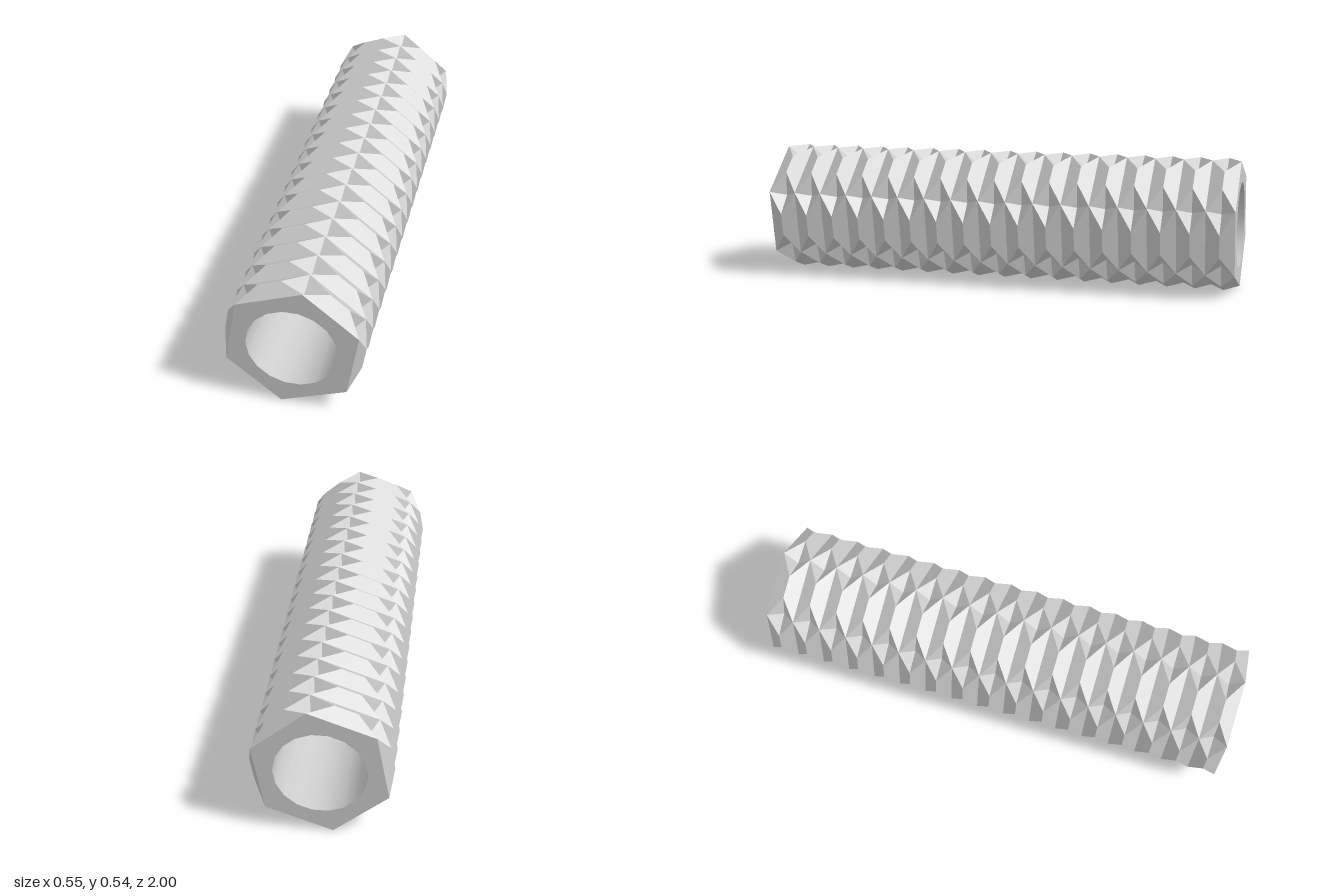
import * as THREE from 'three';

const R = 0.274;        // peak radius
const VALLEY = 0.222;   // valley radius between paired peaks
const BORE = 0.178;     // hole radius
const CY = R * Math.cos(Math.PI / 18); // axis height
const PERIODS = 17, LENGTH = 2, HALF = LENGTH / PERIODS / 2;

const polar = (r, deg, z) => {
  const a = THREE.MathUtils.degToRad(deg);
  return [r * Math.cos(a), r * Math.sin(a), z];
};

// Folded skin: hexagonal rings alternate with rings of paired peaks and valleys
function foldedSkin() {
  const pos = [];
  const tri = (a, b, c, flip) => pos.push(...a, ...(flip ? c : b), ...(flip ? b : c));
  const band = (zHex, zPair) => {
    const flip = zPair < zHex;
    for (let k = 0; k < 6; k++) {
      const t = 20 + 60 * k;
      const a = polar(R, t, zHex), aNext = polar(R, t + 60, zHex);
      const p = polar(R, t + 20, zPair), q = polar(R, t + 40, zPair);
      const qPrev = polar(R, t - 20, zPair), v = polar(VALLEY, t, zPair);
      tri(a, aNext, q, flip);
      tri(a, q, p, flip);
      tri(a, p, v, flip);
      tri(a, v, qPrev, flip);
    }
  };
  for (let i = 0; i < PERIODS; i++) {
    const z = -LENGTH / 2 + 2 * i * HALF;
    band(z, z + HALF);
    band(z + 2 * HALF, z + HALF);
  }
  const geo = new THREE.BufferGeometry();
  geo.setAttribute('position', new THREE.Float32BufferAttribute(pos, 3));
  geo.computeVertexNormals();
  return geo;
}

// Hexagonal end face with an 18-sided hole
function endFace() {
  const ring = (n, r, start) => Array.from({ length: n }, (_, i) =>
    new THREE.Vector2(...polar(r, start + (360 / n) * i, 0).slice(0, 2)));
  const shape = new THREE.Shape(ring(6, R, 20));
  shape.holes.push(new THREE.Path(ring(18, BORE, 0).reverse()));
  return new THREE.ShapeGeometry(shape);
}

export function createModel() {
  const group = new THREE.Group();
  group.name = 'foldedTube';
  const add = (geo, name, options = {}) => {
    const mesh = new THREE.Mesh(geo, new THREE.MeshStandardMaterial({ color: 0xcccccc, ...options }));
    mesh.name = name;
    mesh.position.y = CY;
    group.add(mesh);
    return mesh;
  };

  add(foldedSkin(), 'outerSkin', { flatShading: true });

  // Bore, seen from inside
  const bore = new THREE.CylinderGeometry(BORE, BORE, LENGTH, 18, 1, true, Math.PI / 18);
  bore.rotateX(Math.PI / 2);
  add(bore, 'innerWall', { side: THREE.BackSide });

  // End faces
  add(endFace(), 'frontEnd').position.z = LENGTH / 2;
  add(endFace(), 'backEnd', { side: THREE.BackSide }).position.z = -LENGTH / 2;

  return group;
}
